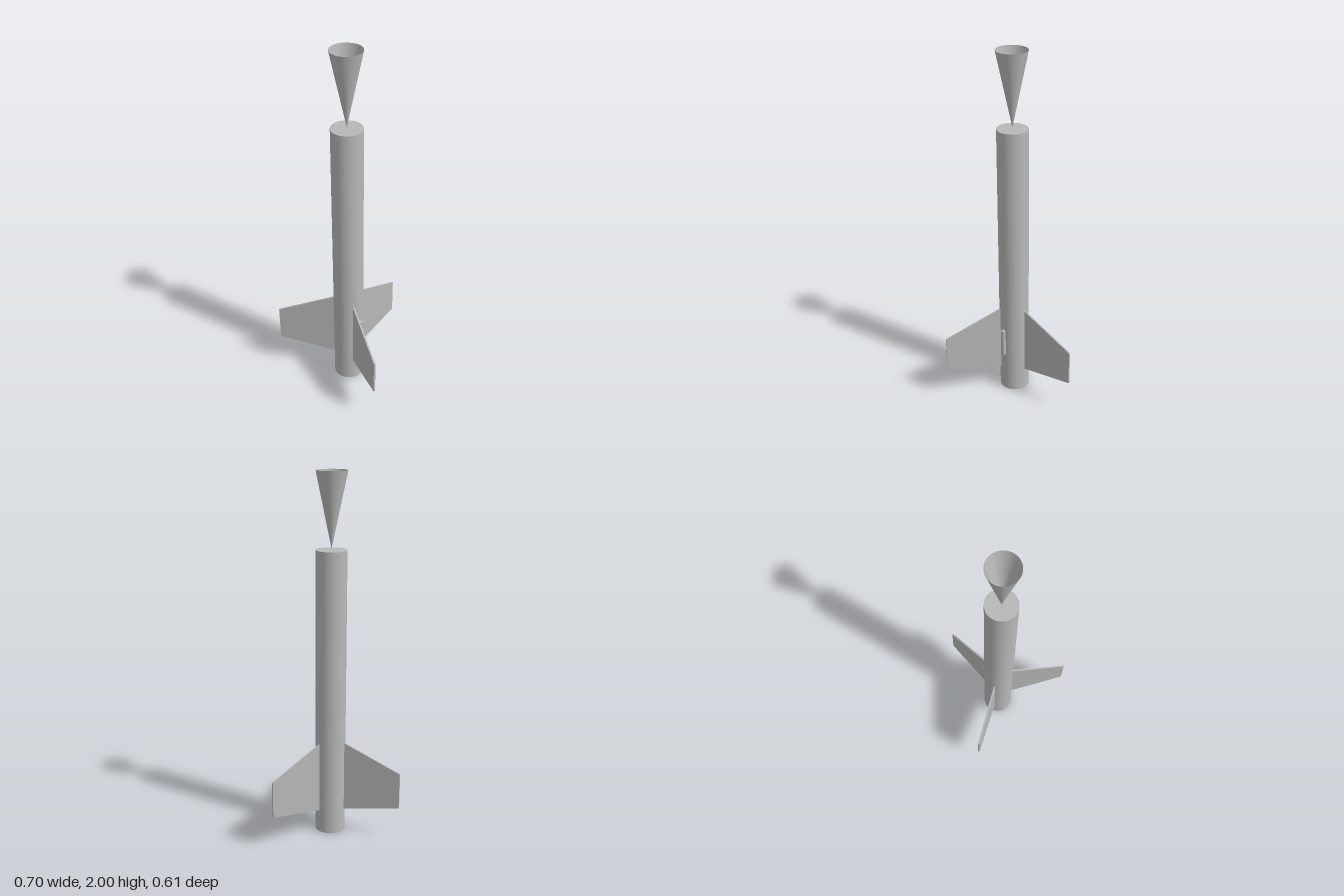
import * as THREE from 'three';

const AXIS_Z = 0.098;
const RADIUS = 0.083;

export function createModel() {
  const model = new THREE.Group();
  model.name = 'rocket';
  const grey = new THREE.MeshStandardMaterial({ color: 0xb8b8b8 });
  grey.name = 'grey';
  const openGrey = grey.clone();
  openGrey.side = THREE.DoubleSide;

  const add = (name, geometry, material, x, y, z) => {
    const mesh = new THREE.Mesh(geometry, material);
    mesh.name = name;
    mesh.position.set(x, y, z);
    model.add(mesh);
    return mesh;
  };

  // Closed body tube
  add('bodyTube', new THREE.CylinderGeometry(RADIUS, RADIUS, 1.596, 48), grey, 0, 0.798, AXIS_Z);

  // Hollow cone, point down, balanced above the tube
  add('noseCone', new THREE.CylinderGeometry(RADIUS, 0, 0.4, 48, 1, true), openGrey, 0, 1.8, AXIS_Z);

  // Small launch lug on the left side
  add('launchLug', new THREE.CylinderGeometry(0.012, 0.012, 0.16, 24), grey, 0.092, 0.328, AXIS_Z);

  // Three tapered fins, evenly spaced
  const outline = new THREE.Shape([
    new THREE.Vector2(0.08, 0.13),
    new THREE.Vector2(0.403, 0.19),
    new THREE.Vector2(0.403, 0.393),
    new THREE.Vector2(0.08, 0.53),
  ]);
  const thickness = 0.009;
  const finGeometry = new THREE.ExtrudeGeometry(outline, { depth: thickness, bevelEnabled: false });
  finGeometry.translate(0, 0, -thickness / 2);
  ['backFin', 'rightFin', 'leftFin'].forEach((name, i) => {
    const fin = add(name, finGeometry, grey, 0, 0, AXIS_Z);
    fin.rotation.y = Math.PI / 2 + (i * Math.PI * 2) / 3;
  });

  return model;
}
